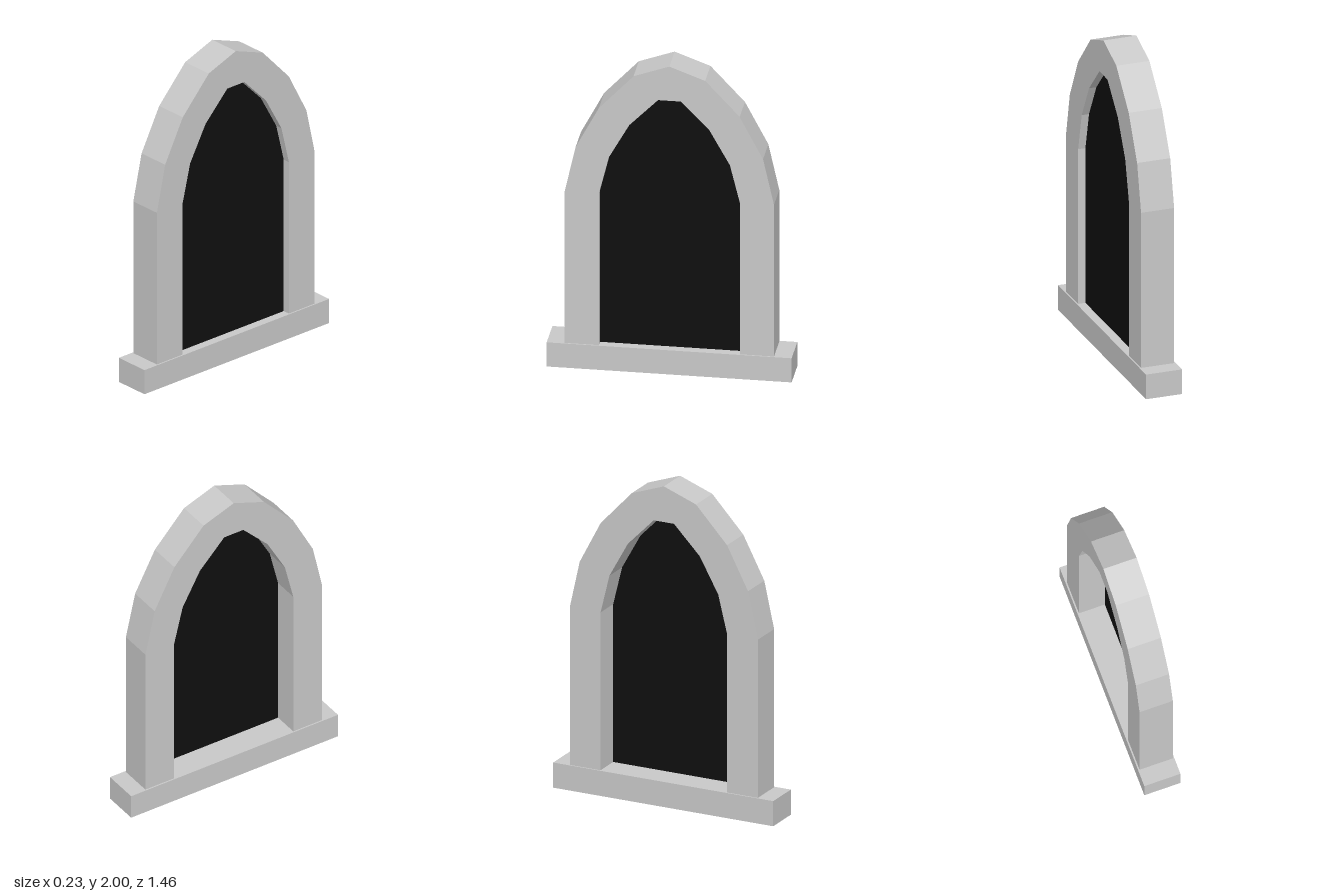
import * as THREE from 'three';

const SILL_TOP = 0.157;

// Half outlines as [distance from the centre line, height], from jamb foot to crown
const OUTER = [[0.622, SILL_TOP], [0.622, 1.145], [0.557, 1.437], [0.418, 1.702], [0.213, 1.922], [0, 2]];
const INNER = [[0.419, SILL_TOP], [0.419, 1.143], [0.36, 1.383], [0.238, 1.602], [0.067, 1.777]];

// Mirrors a half outline across the centre line
function mirrored(half) {
  const other = half.filter(([u]) => u > 0).reverse().map(([u, y]) => [-u, y]);
  return [...half, ...other].map(([u, y]) => new THREE.Vector2(u, y));
}

export function createModel() {
  const stone = new THREE.MeshStandardMaterial({ color: 0xc8c8c8, flatShading: true });
  stone.name = 'stone grey';
  const dark = new THREE.MeshStandardMaterial({ color: 0x0f0f0f, side: THREE.DoubleSide });
  dark.name = 'dark pane';

  const group = new THREE.Group();
  group.name = 'archedWindow';
  const add = (name, geometry, material) => {
    const mesh = new THREE.Mesh(geometry, material);
    mesh.name = name;
    group.add(mesh);
    return mesh;
  };

  // Pointed arch surround: one band running up, over and down again
  const thickness = 0.208;
  const band = new THREE.Shape([...mirrored(OUTER), ...mirrored(INNER).reverse()]);
  const frame = new THREE.ExtrudeGeometry(band, { depth: thickness, bevelEnabled: false });
  frame.translate(0, 0, -thickness / 2).rotateY(Math.PI / 2);
  add('archFrame', frame, stone);

  // Thin pane set closer to the +x face
  const pane = new THREE.ShapeGeometry(new THREE.Shape(mirrored(INNER)));
  pane.rotateY(Math.PI / 2);
  add('pane', pane, dark).position.x = 0.058;

  // Sill slab
  add('sill', new THREE.BoxGeometry(0.226, SILL_TOP, 1.456), stone).position.y = SILL_TOP / 2;

  return group;
}
